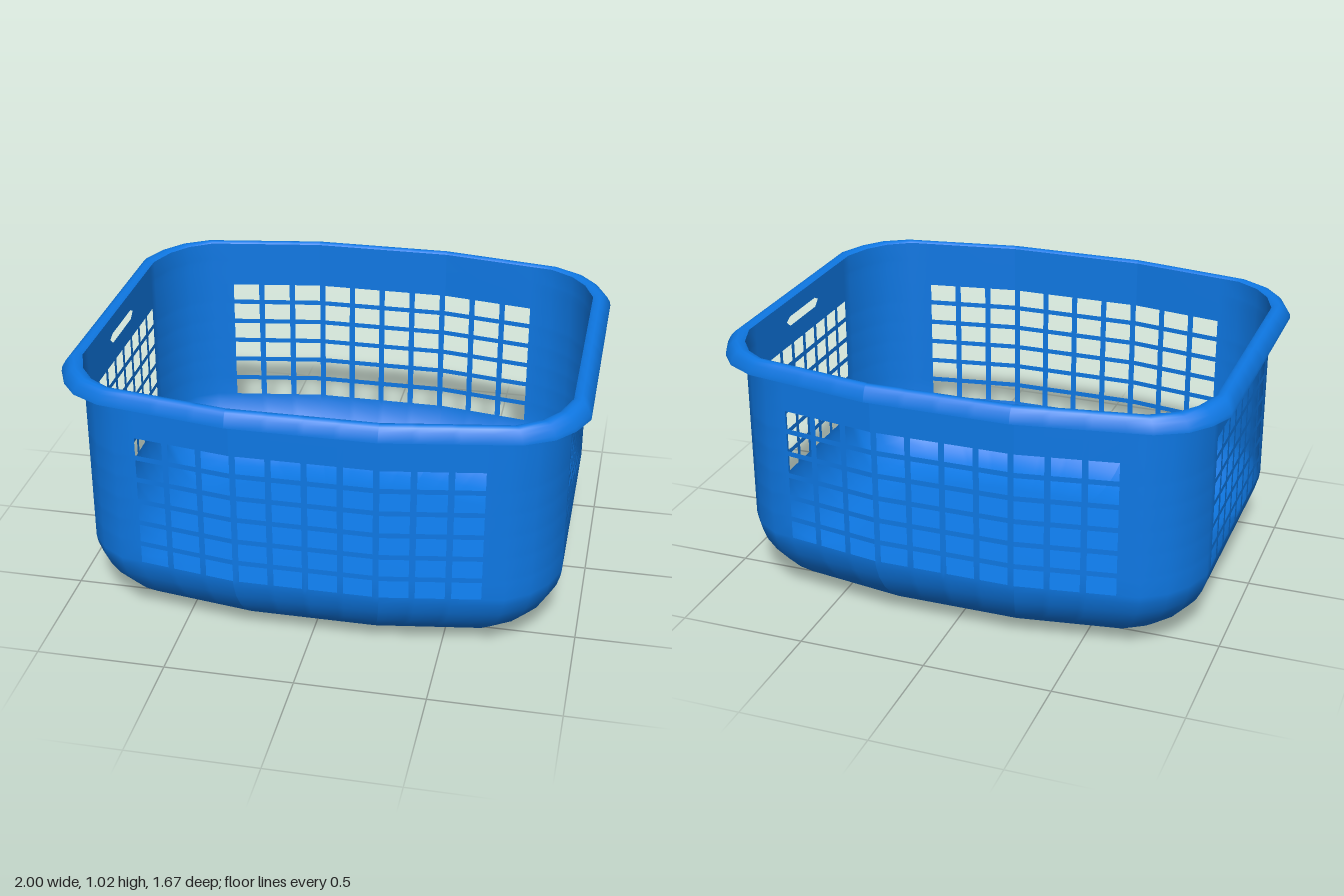
import * as THREE from 'three';

// Quarter outline, front middle to right middle: wall x, wall z, rim x, rim z
const KEYS = [
  [0, 0.785, 0, 0.835], [0.28, 0.785, 0.28, 0.835], [0.74, 0.71, 0.78, 0.75],
  [0.83, 0.65, 0.89, 0.69], [0.89, 0.57, 0.955, 0.61], [0.93, 0.46, 1, 0.51], [0.93, 0, 1, 0],
];

// Rows of openings, centred on "mid" and reaching "half" to each side
const FRONT = { mid: 0, half: 0.655, count: 10, size: 0.11 };
const SIDE = { mid: 0, half: 0.404, count: 8, size: 0.08 };
const UPRIGHT = { mid: 0.55, half: 0.27, count: 6, size: 0.073 };
const HANDLE = { low: 0.9, tip: 0.925, top: 0.94, reach: 0.145 };

const pitch = (g) => (2 * g.half - g.size) / (g.count - 1);

function edges(g) {
  const list = [];
  for (let i = 0; i < g.count; i++) {
    const start = g.mid - g.half + i * pitch(g);
    list.push(start, start + g.size);
  }
  return list;
}

function inOpening(g, v) {
  const d = v - g.mid + g.half;
  return d > 0 && d < 2 * g.half && d % pitch(g) < g.size;
}

// Full outline with extra points wherever an opening starts or ends
function makeOutline() {
  const frontStops = edges(FRONT).filter((x) => x > 0);
  const sideStops = [...edges(SIDE).filter((z) => z > 0), HANDLE.reach].sort((a, b) => b - a);
  const quarter = [KEYS[0]];
  for (let k = 1; k < KEYS.length; k++) {
    const a = KEYS[k - 1], b = KEYS[k];
    const axis = k <= 2 ? 0 : 1;
    const stops = k <= 2 ? frontStops : k === KEYS.length - 1 ? sideStops : [];
    for (const s of stops) {
      const t = (s - a[axis]) / (b[axis] - a[axis]);
      if (t > 0.001 && t < 0.999) quarter.push(a.map((v, i) => v + (b[i] - v) * t));
    }
    quarter.push(b);
  }
  const flip = (pts, sx, sz) => pts.map(([x, z, X, Z]) => [x * sx, z * sz, X * sx, Z * sz]);
  const back = [...quarter].reverse();
  return [
    ...quarter.slice(0, -1), ...flip(back, 1, -1).slice(0, -1),
    ...flip(quarter, -1, -1).slice(0, -1), ...flip(back, -1, 1).slice(0, -1),
  ];
}

// Skin over closed rings; cell(corners) returns the corners to keep
function skin(rings, cell = (c) => c, closeBottom = false) {
  const n = rings[0].length;
  const points = rings.flat();
  const index = [];
  for (let r = 0; r < rings.length - 1; r++) {
    for (let i = 0; i < n; i++) {
      const j = (i + 1) % n;
      const kept = cell([r * n + i, r * n + j, (r + 1) * n + j, (r + 1) * n + i], points);
      for (let k = 2; k < kept.length; k++) index.push(kept[0], kept[k - 1], kept[k]);
    }
  }
  if (closeBottom) {
    const centre = points.push([0, points[0][1], 0]) - 1;
    for (let i = 0; i < n; i++) index.push(centre, (i + 1) % n, i);
  }
  const geometry = new THREE.BufferGeometry();
  geometry.setAttribute('position', new THREE.Float32BufferAttribute(points.flat(), 3));
  geometry.setIndex(index);
  geometry.computeVertexNormals();
  return geometry;
}

// Leaves out the grid openings and the six-sided hand holes
function cutOpenings(corners, points) {
  const [x, y, z] = [0, 1, 2].map((a) => corners.reduce((s, c) => s + points[c][a], 0) / 4);
  const onSide = Math.abs(x) > 0.925;
  if (inOpening(UPRIGHT, y)) {
    if (onSide && inOpening(SIDE, z)) return [];
    if (Math.abs(z) > 0.7 && inOpening(FRONT, x)) return [];
  }
  if (onSide && y > HANDLE.low && y < HANDLE.top && Math.abs(z) < HANDLE.reach) {
    if (Math.abs(z) < 0.116) return [];
    // Tapered end: keep only the triangle beyond the slanted edge
    return corners.filter((c) => !(Math.abs(points[c][1] - HANDLE.tip) < 1e-4
      && Math.abs(points[c][2]) < HANDLE.reach - 0.005));
  }
  return corners;
}

export function createModel() {
  const basket = new THREE.Group();
  basket.name = 'laundryBasket';
  const blue = new THREE.MeshStandardMaterial({ color: 0x0e78e4, side: THREE.DoubleSide });
  blue.name = 'blue plastic';
  const outline = makeOutline();

  // Rounded base (inset, height), then straight walls
  const base = [[0.3, 0.004], [0.25, 0.009], [0.2, 0.02], [0.16, 0.037], [0.12, 0.062],
    [0.08, 0.099], [0.045, 0.145], [0.018, 0.2], [0.004, 0.25]];
  const wall = [...edges(UPRIGHT), HANDLE.low, HANDLE.tip, HANDLE.top, 1.012].map((y) => [0, y]);
  const bodyRings = [...base, ...wall].map(([d, y]) =>
    outline.map(([x, z]) => [x * (1 - d / 0.93), y, z * (1 - d * 1.08 / 0.785)]));
  const body = new THREE.Mesh(skin(bodyRings, cutOpenings, true), blue);
  body.name = 'basketBody';
  basket.add(body);

  // Overhanging lip, open underneath (outward share, height)
  const lip = [[1, 0.96], [0.97, 0.975], [0.8, 0.999], [0.62, 1.013], [0.42, 1.02], [0.18, 1.02], [0, 1.012]];
  const lipRings = lip.map(([t, y]) =>
    outline.map(([x, z, X, Z]) => [x + (X - x) * t, y, z + (Z - z) * t]));
  const rim = new THREE.Mesh(skin(lipRings), blue);
  rim.name = 'rim';
  basket.add(rim);

  return basket;
}
